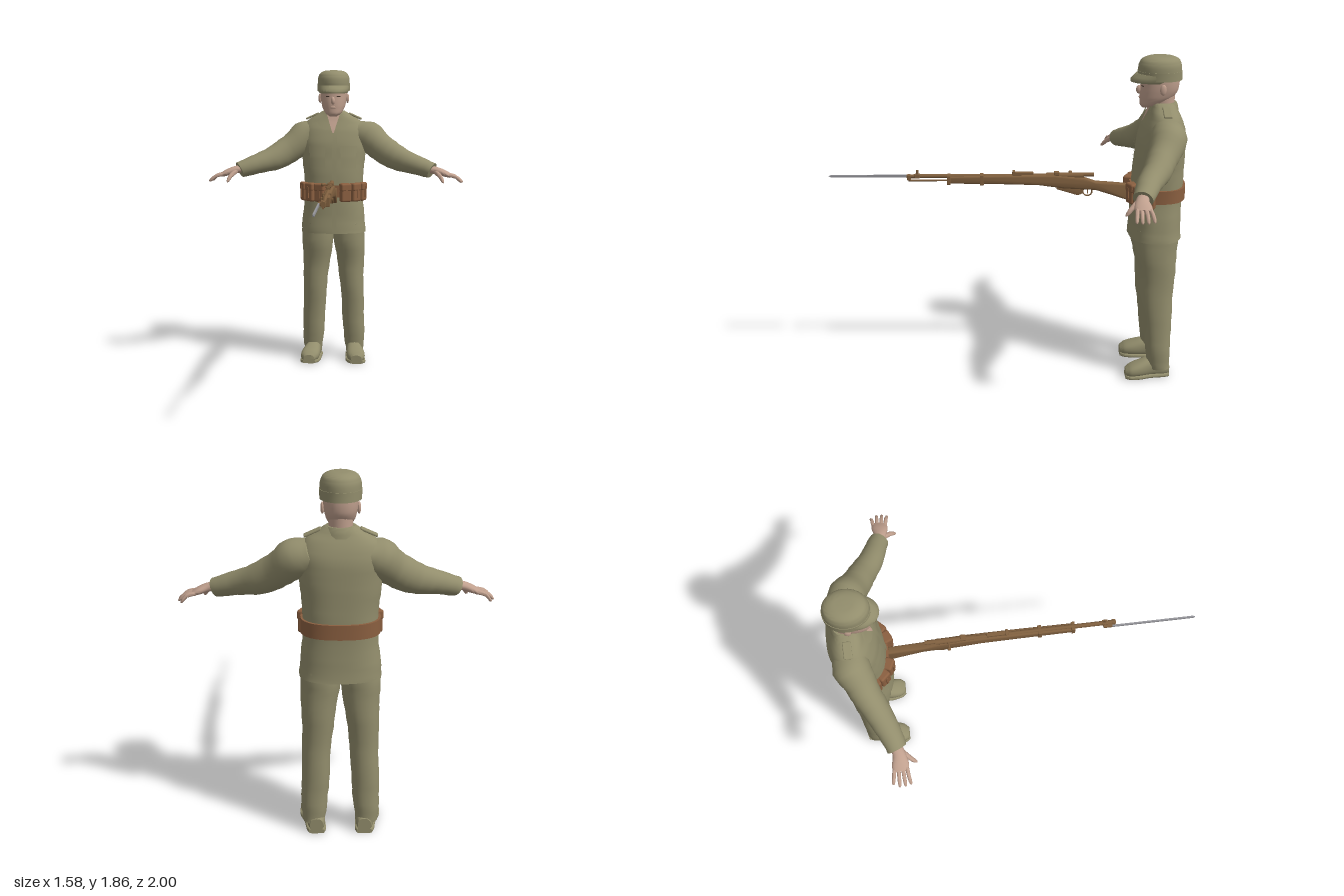
import * as THREE from 'three';
import { toCreasedNormals } from 'three/addons/utils/BufferGeometryUtils.js';
import { RoundedBoxGeometry } from 'three/addons/geometries/RoundedBoxGeometry.js';

const mat = (name, color) => Object.assign(new THREE.MeshStandardMaterial({ color }), { name });
const V = (x, y, z) => new THREE.Vector3(x, y, z);
const X = V(1, 0, 0), Y = V(0, 1, 0), Z = V(0, 0, 1);

// Skin of superellipse rings [x, y, z, radiusU, radiusV], ordered along the axis; u follows ref.
function loft(rings, { axis = Y, ref = X, n = 28, p = 2, sub = 4, fold = 0 } = {}) {
  const t = axis.clone().normalize();
  const u = ref.clone().addScaledVector(t, -ref.dot(t)).normalize();
  const v = t.clone().cross(u);
  const centres = new THREE.CatmullRomCurve3(rings.map(r => V(r[0], r[1], r[2])));
  const radii = new THREE.CatmullRomCurve3(rings.map(r => V(r[3], r[4], r[1] * 10)));
  const m = (rings.length - 1) * sub, pos = [], idx = [];
  const power = c => Math.sign(c) * Math.abs(c) ** (2 / p);
  for (let i = 0; i <= m; i++) {
    const c = centres.getPoint(i / m), r = radii.getPoint(i / m);
    for (let j = 0; j < n; j++) {
      const a = j / n * Math.PI * 2;
      const k = 1 + fold * Math.sin(2 * a + i * 1.9) * Math.sin(a + i * 0.8);
      const q = c.clone().addScaledVector(u, power(Math.cos(a)) * r.x * k).addScaledVector(v, power(Math.sin(a)) * r.y * k);
      pos.push(q.x, q.y, q.z);
    }
  }
  for (let i = 0; i < m; i++) for (let j = 0; j < n; j++) {
    const a = i * n + j, b = i * n + (j + 1) % n;
    idx.push(a, b, b + n, a, b + n, a + n);
  }
  const first = centres.getPoint(0), last = centres.getPoint(1), e = pos.length / 3;
  pos.push(first.x, first.y, first.z, last.x, last.y, last.z);
  for (let j = 0; j < n; j++) {
    const k = (j + 1) % n;
    idx.push(e, k, j, e + 1, m * n + j, m * n + k);
  }
  const g = new THREE.BufferGeometry();
  g.setAttribute('position', new THREE.Float32BufferAttribute(pos, 3));
  g.setIndex(idx);
  return toCreasedNormals(g, 0.8);
}

// Jacket rings, from hem to collar
const JACKET = [
  [0, 0.84, -0.84, 0.205, 0.148], [0, 0.93, -0.84, 0.198, 0.142], [0, 1.06, -0.843, 0.185, 0.14],
  [0, 1.2, -0.847, 0.188, 0.14], [0, 1.32, -0.853, 0.2, 0.135], [0, 1.42, -0.86, 0.205, 0.128],
  [0, 1.49, -0.865, 0.2, 0.11], [0, 1.545, -0.865, 0.165, 0.085], [0, 1.58, -0.862, 0.11, 0.07], [0, 1.605, -0.86, 0.07, 0.062]];
const JACKET_P = 2.4;

// Front surface of the jacket at (x, y)
function jacketFront(x, y) {
  let i = 0;
  while (i < JACKET.length - 2 && JACKET[i + 1][1] < y) i++;
  const A = JACKET[i], B = JACKET[i + 1], f = THREE.MathUtils.clamp((y - A[1]) / (B[1] - A[1]), 0, 1);
  const [, , z, rx, rz] = A.map((k, j) => k + (B[j] - k) * f);
  return z + rz * Math.max(0, 1 - (Math.abs(x) / rx) ** JACKET_P) ** (1 / JACKET_P);
}

// Thin cloth patch laid over the chest; corners are bottom left, bottom right, top right, top left
function patch(corners, lift, s = 1) {
  let [a, b, c, d] = corners.map(([x, y]) => new THREE.Vector2(x * s, y));
  if (s < 0) [a, b, c, d] = [b, a, d, c];
  const g = new THREE.PlaneGeometry(1, 1, 8, 12), P = g.attributes.position;
  for (let i = 0; i < P.count; i++) {
    const f = P.getX(i) + 0.5, h = P.getY(i) + 0.5;
    const q = a.clone().lerp(b, f).lerp(d.clone().lerp(c, f), h);
    P.setXYZ(i, q.x, q.y, jacketFront(q.x, q.y) + lift);
  }
  g.computeVertexNormals();
  return g;
}

export function createModel() {
  const cloth = mat('khaki cloth', 0x928d6c), skin = mat('skin', 0xc0a08e), leather = mat('leather', 0x8a5f40);
  const wood = mat('rifle wood', 0x80603f), steel = mat('steel', 0x95959a), dark = mat('dark brown', 0x43352b);
  const model = new THREE.Group(), body = new THREE.Group(), rifle = new THREE.Group();
  body.name = 'soldier'; rifle.name = 'rifle';
  body.position.x = -0.025; rifle.position.x = -0.02;
  model.add(body, rifle);
  const add = (parent, name, geometry, material, x = 0, y = 0, z = 0) => {
    const mesh = new THREE.Mesh(geometry, material);
    mesh.name = name;
    mesh.position.set(x, y, z);
    parent.add(mesh);
    return mesh;
  };

  // Jacket with placket, open neck, lapels and collar
  add(body, 'jacket', loft(JACKET, { p: JACKET_P, n: 48, fold: 0.012 }), cloth);
  add(body, 'placket', patch([[-0.004, 0.85], [0.024, 0.85], [0.024, 1.47], [-0.004, 1.47]], 0.006), cloth);
  add(body, 'openNeck', patch([[-0.004, 1.47], [0.004, 1.47], [0.045, 1.6], [-0.045, 1.6]], 0.009), skin);
  add(body, 'collar', loft([[0, 1.555, -0.862, 0.098, 0.085], [0, 1.59, -0.868, 0.08, 0.072], [0, 1.605, -0.872, 0.068, 0.06]], { sub: 2 }), cloth);

  // Head and neck
  add(body, 'neck', loft([[0, 1.5, -0.86, 0.06, 0.06], [0, 1.6, -0.862, 0.058, 0.06], [0, 1.7, -0.86, 0.062, 0.066]]), skin);
  add(body, 'head', loft([[0, 1.574, -0.765, 0.022, 0.022], [0, 1.588, -0.778, 0.044, 0.046], [0, 1.62, -0.812, 0.066, 0.083],
    [0, 1.66, -0.83, 0.078, 0.102], [0, 1.7, -0.837, 0.084, 0.106], [0, 1.77, -0.837, 0.086, 0.108]], { p: 2.2 }), skin);
  add(body, 'nose', new THREE.SphereGeometry(1, 14, 10), skin, 0, 1.672, -0.727).scale.set(0.013, 0.025, 0.019);
  add(body, 'lips', new THREE.SphereGeometry(1, 14, 10), skin, 0, 1.63, -0.736).scale.set(0.022, 0.009, 0.012);

  // Field cap with band and peak
  add(body, 'capCrown', loft([[0, 1.73, -0.837, 0.097, 0.117], [0, 1.78, -0.835, 0.1, 0.12], [0, 1.82, -0.835, 0.096, 0.114],
    [0, 1.846, -0.837, 0.078, 0.093], [0, 1.858, -0.838, 0.045, 0.055], [0, 1.86, -0.838, 0.01, 0.012]]), cloth);
  add(body, 'capBand', loft([[0, 1.73, -0.837, 0.101, 0.121], [0, 1.778, -0.835, 0.103, 0.123]], { sub: 1 }), cloth);
  add(body, 'capPeak', loft([[0, 1.718, -0.795, 0.088, 0.118], [0, 1.73, -0.797, 0.095, 0.122], [0, 1.765, -0.83, 0.1, 0.122]], { sub: 2 }), cloth);

  // Belt
  add(body, 'belt', loft([[0, 1.07, -0.846, 0.197, 0.154], [0, 1.145, -0.846, 0.197, 0.154]], { p: JACKET_P, n: 48, sub: 1 }), leather);

  for (const s of [1, -1]) {
    // Facial details
    add(body, 'ear', new THREE.SphereGeometry(1, 12, 10), skin, s * 0.087, 1.685, -0.845).scale.set(0.01, 0.03, 0.018);
    add(body, 'eye', new THREE.BoxGeometry(0.024, 0.006, 0.006), dark, s * 0.033, 1.698, -0.74).rotation.y = s * 0.28;

    // Lapels and breast pockets
    add(body, 'lapel', patch([[0.004, 1.47], [0.075, 1.5], [0.1, 1.535], [0.045, 1.595]], 0.014, s), cloth);
    add(body, 'breastPocket', patch([[0.05, 1.25], [0.145, 1.25], [0.145, 1.37], [0.05, 1.37]], 0.006, s), cloth);
    add(body, 'pocketFlap', patch([[0.046, 1.345], [0.15, 1.345], [0.15, 1.39], [0.046, 1.39]], 0.012, s), cloth);
    const strap = add(body, 'shoulderStrap', new RoundedBoxGeometry(0.09, 0.012, 0.045, 2, 0.005), cloth, s * 0.135, 1.572, -0.865);
    strap.rotation.z = -s * 0.42;

    // Ammunition pouches around the belt
    for (const a of [0.42, 0.8, 1.18]) {
      const pouch = new THREE.Group();
      pouch.name = 'pouch';
      pouch.position.set(s * Math.sin(a) * 0.192, 1.1, -0.845 + Math.cos(a) * 0.16);
      pouch.rotation.y = s * a;
      body.add(pouch);
      add(pouch, 'pouchBody', new RoundedBoxGeometry(0.066, 0.115, 0.05, 3, 0.012), leather);
      add(pouch, 'pouchFlap', new RoundedBoxGeometry(0.07, 0.05, 0.056, 3, 0.012), leather, 0, 0.034, 0);
      add(pouch, 'pouchStrap', new THREE.BoxGeometry(0.012, 0.07, 0.006), leather, 0, 0, 0.028);
    }

    // Trouser leg and shoe
    add(body, 'trouserLeg', loft([[s * 0.135, 0.055, -0.885, 0.056, 0.058], [s * 0.133, 0.13, -0.876, 0.065, 0.068],
      [s * 0.128, 0.25, -0.87, 0.07, 0.075], [s * 0.12, 0.45, -0.857, 0.073, 0.089], [s * 0.109, 0.65, -0.852, 0.086, 0.103],
      [s * 0.1, 0.8, -0.842, 0.1, 0.12], [s * 0.098, 0.9, -0.84, 0.096, 0.122]], { fold: 0.035, p: 2.2 }), cloth);
    const shoe = (lift, grow, flat) => [[0.122, 0.045, -0.945, 0.034, 0.036], [0.124, 0.052, -0.91, 0.045, 0.05], [0.132, 0.058, -0.83, 0.048, 0.056],
      [0.143, 0.05, -0.765, 0.058, 0.045], [0.15, 0.04, -0.715, 0.054, 0.034], [0.152, 0.032, -0.688, 0.034, 0.022]]
      .map(([x, y, z, a, b]) => [s * x, flat || y + lift, z, a + grow, flat || b]);
    add(body, 'shoe', loft(shoe(0, 0), { axis: Z, p: 2.4, n: 24 }), cloth);
    add(body, 'shoeSole', loft(shoe(0, 0.005, 0.011), { axis: Z, p: 6, n: 24 }), cloth);

    // Sleeve
    const arm = new THREE.Group();
    arm.name = s > 0 ? 'leftArm' : 'rightArm';
    arm.position.x = 0.018;
    body.add(arm);
    const limb = (name, rings, axis, material, options = {}) => add(arm, name,
      loft(rings.map(([x, ...r]) => [s * x, ...r]), { axis: V(s * axis[0], axis[1], axis[2]), ref: Y, ...options }), material);
    const along = [0.43, -0.22, 0.19];
    limb('sleeve', [[0.1, 1.475, -0.875, 0.07, 0.09], [0.19, 1.448, -0.868, 0.097, 0.1], [0.28, 1.38, -0.828, 0.089, 0.084],
      [0.36, 1.325, -0.79, 0.082, 0.076], [0.48, 1.28, -0.728, 0.064, 0.066], [0.6, 1.243, -0.683, 0.05, 0.054]], along, cloth, { fold: 0.04 });

    // Hand
    const out = [1, -0.35, 0.1];
    limb('palm', [[0.57, 1.252, -0.695, 0.026, 0.032], [0.63, 1.243, -0.676, 0.023, 0.034], [0.68, 1.226, -0.675, 0.02, 0.045],
      [0.715, 1.212, -0.675, 0.013, 0.043]], out, skin, { n: 18 });
    [[-0.709, 0.775, -0.722], [-0.687, 0.79, -0.69], [-0.664, 0.79, -0.66], [-0.643, 0.782, -0.632]].forEach(([z, tip, tipZ]) =>
      limb('finger', [[0.7, 1.217, z, 0.011, 0.011], [0.745, 1.207, (z + tipZ) / 2, 0.01, 0.01], [tip - 0.006, 1.18, tipZ, 0.008, 0.008],
        [tip, 1.175, tipZ, 0.003, 0.003]], out, skin, { n: 10, sub: 2 }));
    limb('thumb', [[0.62, 1.238, -0.66, 0.016, 0.016], [0.65, 1.21, -0.622, 0.013, 0.013], [0.664, 1.182, -0.597, 0.009, 0.009],
      [0.667, 1.175, -0.59, 0.003, 0.003]], [0.5, -0.6, 0.7], skin, { n: 10, sub: 2 });
  }

  // Rifle stock and magazine, drawn as side profiles in (z, y)
  const profile = (points, width, bevel) => {
    const g = new THREE.ExtrudeGeometry(new THREE.Shape(points.map(q => new THREE.Vector2(...q))),
      { depth: width - 2 * bevel, bevelThickness: bevel, bevelSize: bevel, bevelOffset: -bevel, bevelSegments: 3 });
    g.translate(0, 0, bevel - width / 2).rotateY(-Math.PI / 2);
    return toCreasedNormals(g, 0.7);
  };
  add(rifle, 'stock', profile([[-0.71, 1.03], [-0.6, 1.068], [-0.5, 1.1], [-0.32, 1.11], [-0.18, 1.13], [0, 1.136], [0.33, 1.142],
    [0.33, 1.182], [0, 1.188], [-0.27, 1.187], [-0.43, 1.172], [-0.5, 1.148], [-0.58, 1.142], [-0.71, 1.13]], 0.044, 0.01), wood);
  add(rifle, 'magazine', profile([[-0.43, 1.08], [-0.4, 1.068], [-0.28, 1.105], [-0.28, 1.125], [-0.43, 1.125]], 0.024, 0.003), wood);
  add(rifle, 'triggerGuard', new THREE.TorusGeometry(0.026, 0.004, 8, 20), wood, 0, 1.09, -0.455).rotation.y = Math.PI / 2;
  add(rifle, 'trigger', new THREE.CylinderGeometry(0.003, 0.003, 0.03, 8), wood, 0, 1.092, -0.455);

  // Barrel, rod, receiver and bolt
  const rod = (name, r, z0, z1, x, y, material) =>
    add(rifle, name, new THREE.CylinderGeometry(r, r, z1 - z0, 16).rotateX(Math.PI / 2), material, x, y, (z0 + z1) / 2);
  rod('barrel', 0.011, -0.25, 0.56, 0, 1.182, wood);
  rod('cleaningRod', 0.005, 0.3, 0.55, 0, 1.157, wood);
  rod('receiver', 0.016, -0.43, -0.22, 0, 1.182, wood);
  rod('cockingPiece', 0.012, -0.49, -0.42, 0, 1.187, wood);
  add(rifle, 'boltHandle', new THREE.CylinderGeometry(0.005, 0.006, 0.05, 10).rotateZ(Math.PI / 2), wood, -0.025, 1.185, -0.36);
  add(rifle, 'boltKnob', new THREE.SphereGeometry(0.011, 12, 10), wood, -0.05, 1.185, -0.36);

  // Bands, sights and lugs: [name, width, height, depth, x, y, z]
  for (const [name, w, h, d, x, y, z] of [
    ['frontBand', 0.05, 0.052, 0.02, 0, 1.163, 0.325], ['middleBand', 0.052, 0.058, 0.022, 0, 1.162, 0.14],
    ['rearSight', 0.022, 0.016, 0.12, 0, 1.195, -0.09], ['rearSightLeaf', 0.034, 0.01, 0.015, 0, 1.206, -0.04],
    ['stripperGuide', 0.034, 0.016, 0.03, 0, 1.196, -0.28], ['frontSight', 0.008, 0.03, 0.014, 0, 1.204, 0.5],
    ['frontSightBase', 0.028, 0.02, 0.03, 0, 1.184, 0.5], ['muzzleLug', 0.026, 0.03, 0.02, 0, 1.176, 0.548],
    ['bayonetSocket', 0.03, 0.018, 0.05, -0.012, 1.177, 0.515], ['buttPlate', 0.04, 0.1, 0.008, 0, 1.08, -0.711]])
    add(rifle, name, new RoundedBoxGeometry(w, h, d, 2, 0.003), wood, x, y, z);

  // Bayonet
  add(rifle, 'bayonet', new THREE.BoxGeometry(0.009, 0.013, 0.5), steel, -0.022, 1.177, 0.74);
  add(rifle, 'bayonetTip', new THREE.ConeGeometry(0.006, 0.01, 4).rotateX(Math.PI / 2), steel, -0.022, 1.177, 0.995);
  return model;
}
